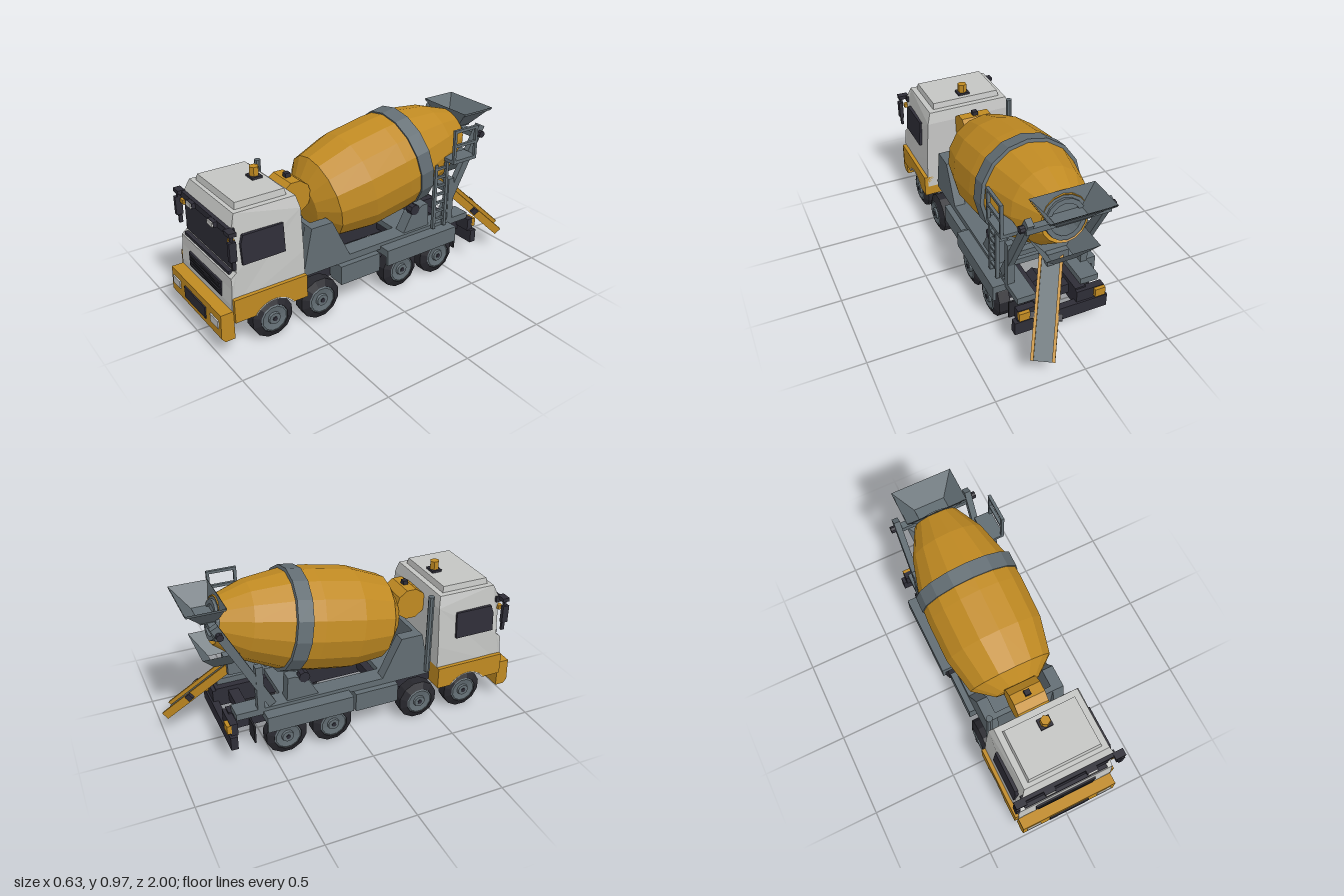
import * as THREE from 'three';

const mat = (name, color, side = THREE.FrontSide) => {
  const m = new THREE.MeshStandardMaterial({ color, side });
  m.name = name;
  return m;
};

export function createModel() {
  const model = new THREE.Group();
  const orange = mat('orange paint', 0xc08a22);
  const steel = mat('grey steel', 0x626d73, THREE.DoubleSide);
  const white = mat('cab white', 0xc4c5c3);
  const dark = mat('dark trim', 0x2e2d37);
  const rubber = mat('tyre rubber', 0x28282e);
  const lamp = mat('lamp', 0xcacac8);

  // Adds a faceted mesh
  const add = (name, geo, material, parent = model) => {
    const g = geo.index ? geo.toNonIndexed() : geo;
    g.computeVertexNormals();
    const m = new THREE.Mesh(g, material);
    m.name = name;
    parent.add(m);
    return m;
  };
  // Box from its limits
  const box = (name, material, x0, x1, y0, y1, z0, z1, parent) => add(name,
    new THREE.BoxGeometry(x1 - x0, y1 - y0, z1 - z0)
      .translate((x0 + x1) / 2, (y0 + y1) / 2, (z0 + z1) / 2), material, parent);
  const boxPair = (name, material, x0, x1, ...r) => {
    box(name, material, x0, x1, ...r);
    box(name, material, -x1, -x0, ...r);
  };
  // Side profile of [z, y] points extruded from x0 to x1
  const profileGeo = (pts, x0, x1) => {
    const shape = pts instanceof THREE.Shape ? pts
      : new THREE.Shape(pts.map(p => new THREE.Vector2(p[0], p[1])));
    return new THREE.ExtrudeGeometry(shape, { depth: x1 - x0, bevelEnabled: false, curveSegments: 8 })
      .rotateY(-Math.PI / 2).translate(x1, 0, 0);
  };
  const profilePair = (name, material, pts, x0, x1) => {
    add(name, profileGeo(pts, x0, x1), material);
    add(name, profileGeo(pts, -x1, -x0), material);
  };
  // Rectangular bar between two points
  const beam = (name, material, a, b, w, h) => {
    const p = new THREE.Vector3(...a), q = new THREE.Vector3(...b);
    const m = add(name, new THREE.BoxGeometry(w, h, p.distanceTo(q)), material);
    m.position.copy(p).add(q).multiplyScalar(0.5);
    m.lookAt(q);
  };
  const cylX = (name, material, r, x0, x1, y, z, n) => add(name,
    new THREE.CylinderGeometry(r, r, x1 - x0, n).rotateZ(Math.PI / 2)
      .translate((x0 + x1) / 2, y, z), material);
  const move = (geo, rule) => {
    const p = geo.attributes.position, v = new THREE.Vector3();
    for (let i = 0; i < p.count; i++) {
      rule(v.fromBufferAttribute(p, i));
      p.setXYZ(i, v.x, v.y, v.z);
    }
    return geo;
  };

  // Cab shell: side profile, narrowed towards the roof
  const cab = profileGeo([[0.5, 0.25], [0.925, 0.25], [0.925, 0.285], [0.917, 0.37], [0.915, 0.43],
    [0.885, 0.455], [0.885, 0.69], [0.86, 0.755], [0.515, 0.755], [0.5, 0.69], [0.5, 0.455]], -1, 1);
  add('cab', move(cab, v => {
    v.x *= v.y > 0.74 ? 0.243 : v.y > 0.65 ? 0.264 : v.y > 0.4 ? 0.282 : 0.288;
  }), white);
  add('roofPanel', move(new THREE.BoxGeometry(0.42, 0.035, 0.29).translate(0, 0.772, 0.693), v => {
    if (v.y > 0.78) { v.x *= 0.97; v.z = 0.693 + (v.z - 0.693) * 0.95; }
  }), white);
  box('windscreen', dark, -0.26, 0.26, 0.465, 0.642, 0.884, 0.892);
  box('wiperStrip', dark, -0.25, 0.25, 0.44, 0.457, 0.89, 0.912);
  box('grille', dark, -0.182, 0.182, 0.285, 0.37, 0.918, 0.928);
  for (let i = 0; i < 4; i++) box('grilleSlat', rubber, -0.17, 0.17, 0.297 + i * 0.018, 0.303 + i * 0.018, 0.927, 0.933);
  box('sunVisor', dark, -0.27, 0.27, 0.655, 0.69, 0.87, 0.905);
  boxPair('visorLampHousing', dark, 0.09, 0.152, 0.658, 0.688, 0.9, 0.925);
  boxPair('visorLamp', lamp, 0.095, 0.148, 0.661, 0.685, 0.924, 0.932);
  for (const s of [-1, 1]) {
    const window = profileGeo([[0.85, 0.49], [0.85, 0.6], [0.835, 0.645], [0.61, 0.645], [0.61, 0.49]], -0.009, 0.009);
    add('sideWindow', move(window, v => { v.x += s * (0.282 - (v.y - 0.49) * 0.08); }), dark);
  }
  // Mirrors and indicators
  boxPair('mirror', dark, 0.293, 0.316, 0.54, 0.645, 0.89, 0.928);
  boxPair('lowerMirror', dark, 0.296, 0.31, 0.49, 0.535, 0.895, 0.915);
  boxPair('mirrorArm', dark, 0.255, 0.315, 0.672, 0.694, 0.885, 0.925);
  boxPair('mirrorStalk', dark, 0.29, 0.305, 0.64, 0.685, 0.9, 0.915);
  boxPair('indicator', orange, 0.25, 0.285, 0.613, 0.638, 0.88, 0.905);
  // Beacon
  box('beaconBase', dark, -0.035, 0.035, 0.788, 0.802, 0.58, 0.64);
  add('beacon', new THREE.CylinderGeometry(0.027, 0.027, 0.05, 6).translate(0, 0.826, 0.61), orange);

  // Front wheel arches
  const arch = new THREE.Shape();
  arch.moveTo(0.5, 0.32); arch.lineTo(0.5, 0.19); arch.lineTo(0.588, 0.19);
  arch.absarc(0.695, 0.115, 0.131, 2.53, 0.61, true);
  arch.lineTo(0.92, 0.19); arch.lineTo(0.92, 0.32);
  profilePair('fender', orange, arch, 0.2, 0.308);
  const lip = new THREE.Shape();
  lip.absarc(0.695, 0.115, 0.136, 2.53, 0.61, true);
  lip.absarc(0.695, 0.115, 0.129, 0.61, 2.53, false);
  profilePair('archLip', white, lip, 0.2, 0.31);
  // Front bumper
  add('bumper', profileGeo([[0.92, 0.09], [0.975, 0.09], [0.995, 0.115], [0.99, 0.25], [0.92, 0.25]], -0.29, 0.29), orange);
  box('numberPanel', dark, -0.122, 0.122, 0.145, 0.213, 0.987, 0.999);
  boxPair('headlight', lamp, 0.18, 0.265, 0.165, 0.21, 0.987, 0.999);

  // Chassis
  boxPair('chassisRail', dark, 0.09, 0.15, 0.15, 0.265, -0.7, 0.92);
  for (const z of [0.2, -0.28, -0.6]) box('crossMember', dark, -0.12, 0.12, 0.18, 0.24, z - 0.03, z + 0.03);
  boxPair('deckRail', steel, 0.13, 0.235, 0.262, 0.3, -0.68, 0.47);
  box('frontDeck', steel, -0.235, 0.235, 0.262, 0.298, 0.2, 0.47);
  box('midDeck', steel, -0.235, 0.235, 0.262, 0.298, -0.4, -0.2);
  boxPair('sideTank', steel, 0.16, 0.27, 0.15, 0.262, 0, 0.26);
  boxPair('rearGuard', steel, 0.2, 0.305, 0.235, 0.28, -0.53, -0.03);
  boxPair('rearGuardSkirt', steel, 0.287, 0.305, 0.185, 0.24, -0.53, -0.03);
  box('rearBumper', dark, -0.27, 0.27, 0.105, 0.185, -0.73, -0.69);
  boxPair('rearBumperBracket', dark, 0.09, 0.25, 0.18, 0.255, -0.72, -0.68);
  boxPair('tailLight', orange, 0.19, 0.25, 0.2, 0.25, -0.74, -0.715);
  boxPair('mudFlap', rubber, 0.15, 0.24, 0.09, 0.2, -0.59, -0.58);

  // Wheels and axles
  for (const z of [0.69, 0.397, -0.145, -0.415]) {
    box('axle', dark, -0.22, 0.22, 0.085, 0.145, z - 0.035, z + 0.035);
    if (z < 0) {
      const diff = add('differential', new THREE.CylinderGeometry(0.065, 0.065, 0.09, 4).rotateX(Math.PI / 2), dark);
      diff.position.set(0, 0.115, z);
      diff.scale.x = 1.6;
    }
    for (const s of [-1, 1]) {
      const tyre = [[0, -0.04], [0.119, -0.04], [0.119, 0.022], [0.08, 0.042], [0.076, 0.036]];
      const rim = [[0.08, 0.038], [0.07, 0.043], [0.036, 0.036], [0.032, 0.047], [0, 0.047]];
      const lathe = pts => new THREE.LatheGeometry(pts.map(p => new THREE.Vector2(...p)), 12, Math.PI / 12);
      const wheel = new THREE.Group();
      wheel.name = 'wheel';
      add('tyre', lathe(tyre), rubber, wheel);
      add('rim', lathe(rim), steel, wheel);
      add('hubCap', new THREE.CylinderGeometry(0.013, 0.013, 0.008, 8).translate(0, 0.048, 0), dark, wheel);
      wheel.rotation.z = -s * Math.PI / 2;
      wheel.position.set(s * 0.244, 0.116, z);
      model.add(wheel);
    }
  }

  // Mixing drum, tilted up to the rear
  const drum = new THREE.Group();
  drum.name = 'drum';
  drum.position.set(0, 0.678, -0.29);
  drum.rotation.x = Math.PI / 2 + 0.195;
  model.add(drum);
  const turned = (name, pts, material) => add(name,
    new THREE.LatheGeometry(pts.map(p => new THREE.Vector2(...p)), 16), material, drum);
  turned('drumShell', [[0.1, -0.4], [0.13, -0.425], [0.215, -0.266], [0.281, -0.03], [0.29, 0.1],
    [0.288, 0.333], [0.243, 0.536], [0.132, 0.622], [0, 0.635]], orange);
  turned('drumBand', [[0.27, -0.062], [0.291, -0.06], [0.293, 0.027], [0.275, 0.029]], steel);
  turned('drumMouth', [[0.085, -0.3], [0.085, -0.437], [0.11, -0.437], [0.11, -0.41]], steel);

  // Drum drive and its pedestal
  cylX('driveMotor', orange, 0.093, -0.09, 0.09, 0.653, 0.42, 10);
  box('motorCap', dark, -0.016, 0.016, 0.74, 0.765, 0.405, 0.435);
  profilePair('frontSupport', steel, [[0.47, 0.3], [0.42, 0.53], [0.29, 0.53], [0.18, 0.3]], 0.17, 0.235);
  box('supportWall', steel, -0.18, 0.18, 0.29, 0.53, 0.39, 0.42);
  add('exhaust', new THREE.CylinderGeometry(0.018, 0.018, 0.48, 8).translate(-0.24, 0.525, 0.46), steel);
  // Rear drum support with rollers
  profilePair('rearSupport', steel, [[-0.2, 0.29], [-0.26, 0.4], [-0.34, 0.44], [-0.38, 0.44], [-0.39, 0.29]], 0.15, 0.22);
  for (const s of [-1, 1]) cylX('roller', dark, 0.032, s * 0.2 - 0.022, s * 0.2 + 0.022, 0.425, -0.285, 8);

  // Rear frame
  for (const s of [-1, 1]) {
    beam('rearStrut', steel, [s * 0.215, 0.84, -0.755], [s * 0.215, 0.31, -0.475], 0.035, 0.045);
    box('rearPost', steel, s * 0.215 - 0.02, s * 0.215 + 0.02, 0.29, 0.56, -0.56, -0.52);
    cylX('frameCap', dark, 0.02, s * 0.24 - 0.018, s * 0.24 + 0.018, 0.795, -0.735, 8);
  }
  box('frameCrossbar', steel, -0.23, 0.23, 0.765, 0.797, -0.755, -0.715);
  box('lowerCrossbar', steel, -0.23, 0.23, 0.47, 0.5, -0.56, -0.52);

  // Open hoppers: four sloping walls from top limits to bottom limits
  const hopper = (name, y0, y1, top, bottom) => add(name,
    move(new THREE.CylinderGeometry(1, 1, 1, 4, 1, true).rotateY(Math.PI / 4), v => {
      const [w, z0, z1] = v.y > 0 ? top : bottom;
      v.set(Math.sign(v.x) * w, v.y > 0 ? y1 : y0, v.z > 0 ? z1 : z0);
    }), steel);
  hopper('fillHopper', 0.8, 0.905, [0.175, -0.88, -0.67], [0.09, -0.79, -0.7]);
  hopper('hopperRim', 0.89, 0.905, [0.178, -0.883, -0.667], [0.172, -0.875, -0.672]);
  box('hopperFloor', steel, -0.09, 0.09, 0.794, 0.802, -0.79, -0.7);
  hopper('dischargeHopper', 0.51, 0.62, [0.15, -0.81, -0.595], [0.06, -0.73, -0.63]);
  box('chutePivot', steel, -0.06, 0.06, 0.44, 0.515, -0.66, -0.56);

  // Swung-out discharge chute
  const chute = new THREE.Group();
  chute.name = 'chute';
  const a = new THREE.Vector3(0.015, 0.49, -0.615), b = new THREE.Vector3(0.227, 0.12, -0.96);
  const len = a.distanceTo(b);
  chute.position.copy(a).add(b).multiplyScalar(0.5);
  chute.lookAt(b);
  model.add(chute);
  box('chuteFloor', steel, -0.05, 0.05, -0.022, -0.01, -len / 2, len / 2, chute);
  for (const s of [-1, 1]) {
    box('chuteWall', orange, s * 0.054 - 0.008, s * 0.054 + 0.008, -0.036, 0.01, -len / 2, len / 2, chute);
    box('chuteClamp', dark, s * 0.07 - 0.012, s * 0.07 + 0.012, -0.025, 0.01, 0.035, 0.07, chute);
  }

  // Ladder, platform and railing on the left side
  for (const z of [-0.395, -0.475]) box('ladderRail', steel, 0.245, 0.265, 0.29, 0.69, z - 0.009, z + 0.009);
  for (let i = 0; i < 7; i++) box('ladderRung', steel, 0.248, 0.262, 0.335 + i * 0.053, 0.349 + i * 0.053, -0.475, -0.395);
  box('platform', steel, 0.21, 0.312, 0.69, 0.71, -0.645, -0.475);
  for (const z of [-0.483, -0.637]) box('railingPost', steel, 0.296, 0.313, 0.7, 0.89, z - 0.008, z + 0.008);
  for (const y of [0.795, 0.882]) box('railing', steel, 0.296, 0.313, y - 0.008, y + 0.008, -0.645, -0.475);
  return model;
}
